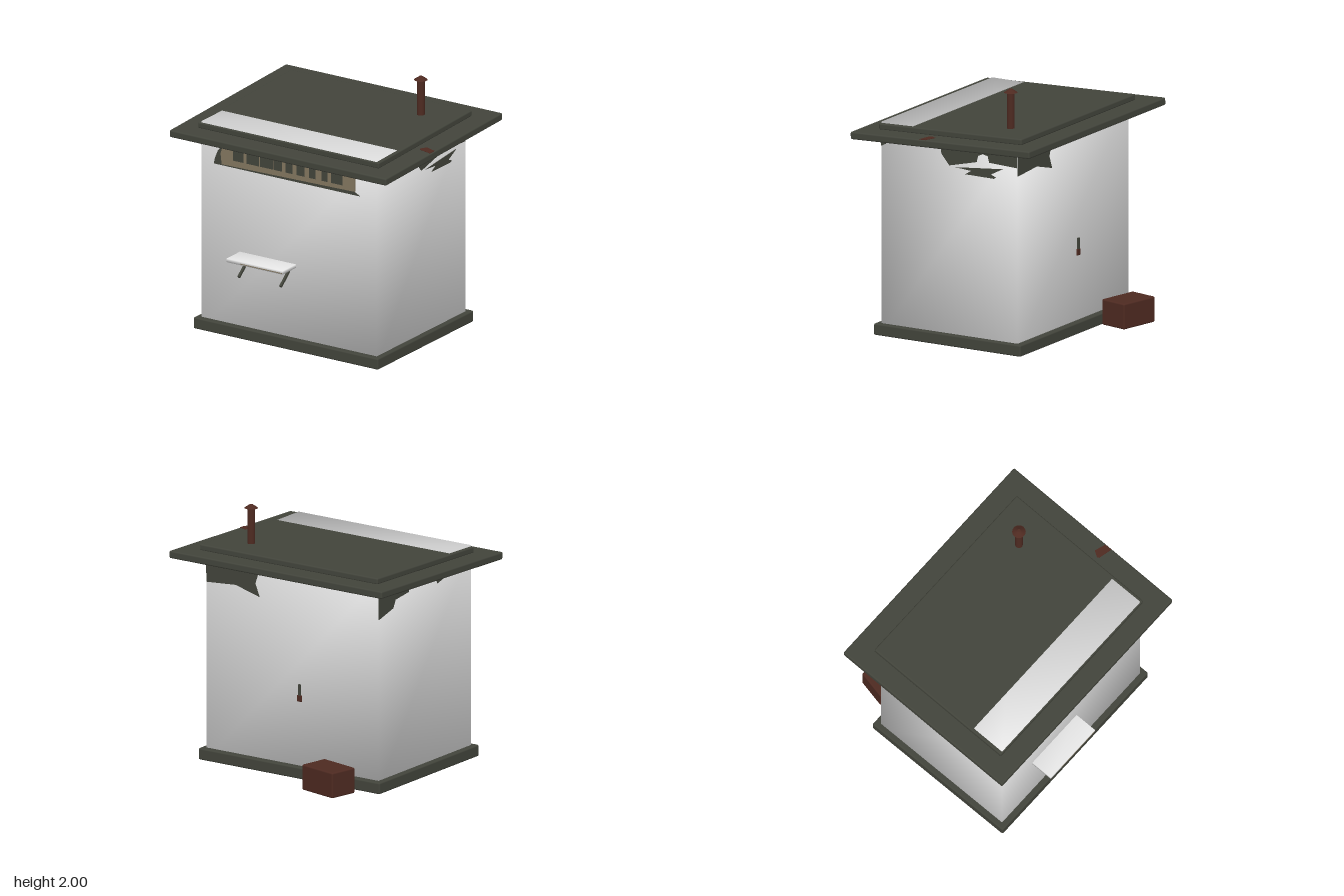
import * as THREE from 'three';
import { mergeVertices } from 'three/addons/utils/BufferGeometryUtils.js';
import { RoundedBoxGeometry } from 'three/addons/geometries/RoundedBoxGeometry.js';

const material = (name, color) => {
  const m = new THREE.MeshStandardMaterial({ color });
  m.name = name;
  return m;
};

export function createModel() {
  const model = new THREE.Group();
  model.name = 'kiosk';
  const white = material('white paint', 0xe6e6e6);
  const dark = material('dark grey green', 0x42443b);
  const rust = material('rust brown', 0x4e2a21);
  const beige = material('sign beige', 0x82765f);

  const add = (name, geometry, mat, x, y, z, parent = model) => {
    const mesh = new THREE.Mesh(geometry, mat);
    mesh.name = name;
    mesh.position.set(x, y, z);
    parent.add(mesh);
    return mesh;
  };
  const slab = (w, h, d, r = 0.012) => new RoundedBoxGeometry(w, h, d, 2, r);
  // Box with shared corners, so its shading is smooth
  const softBox = (w, h, d) => {
    const g = new THREE.BoxGeometry(w, h, d);
    g.deleteAttribute('normal');
    g.deleteAttribute('uv');
    const merged = mergeVertices(g);
    merged.computeVertexNormals();
    return merged;
  };
  // Thin plate with an outline of [x, y] points
  const plate = (points, depth = 0.004) => new THREE.ExtrudeGeometry(
    new THREE.Shape(points.map(([x, y]) => new THREE.Vector2(x, y))),
    { depth, bevelEnabled: false });

  // Base and walls
  add('base', slab(1.68, 0.09, 1.305), dark, -0.005, 0.05, 0.0825);
  add('walls', softBox(1.595, 1.656, 1.21), white, -0.003, 0.84, 0.085);

  // Pale underside of the floor, in fractions of the base
  const floor = [[0.03, 0.04], [0.068, 0.106], [0.092, 0.286], [0.3, 0.3], [0.46, 0.31],
    [0.646, 0.517], [0.666, 0.643], [0.577, 0.839], [0.4, 0.88], [0.283, 0.96],
    [0.97, 0.96], [0.96, 0.291], [0.893, 0.215], [0.746, 0.148], [0.428, 0.083]]
    .map(([u, v]) => [0.835 - 1.68 * u, -0.57 + 1.305 * v]);
  add('floor underside', plate(floor), white, 0, 0.005, 0).rotation.x = Math.PI / 2;

  // Sloping roof of two layers
  const lower = add('lower roof', slab(1.97, 0.058, 1.592), dark, 0, 1.606, 0.055);
  lower.rotation.x = 0.035;
  const upper = add('upper roof', slab(1.645, 0.05, 1.27), dark, -0.003, 1.655, 0.065);
  upper.rotation.x = 0.035;
  add('roof rust patch', plate([[0.86, -0.145], [0.89, -0.095], [0.978, -0.125],
    [0.978, -0.185], [0.87, -0.16]]), rust, 0, 0.0275, 0, lower).rotation.x = -Math.PI / 2;

  // Chimney with a conical cap
  add('chimney pipe', new THREE.CylinderGeometry(0.03, 0.03, 0.35, 16), rust, 0.535, 1.8, -0.3);
  add('chimney cap', new THREE.CylinderGeometry(0.012, 0.052, 0.028, 16), rust, 0.535, 1.986, -0.3);

  // Ragged dark patches under the eaves, (z or x, y) on each wall
  const wallPatch = (name, points, side) => {
    const outline = {
      right: p => [-p[0], p[1]], left: p => p, back: p => [-p[0], p[1]],
    }[side];
    const mesh = add(name, plate(points.map(outline)), dark, 0, 0, 0);
    if (side === 'back') mesh.position.z = -0.5195;
    else mesh.position.x = side === 'right' ? 0.794 : -0.8;
    mesh.rotation.y = { right: Math.PI / 2, left: -Math.PI / 2, back: Math.PI }[side];
  };
  wallPatch('upper eave patch', [[0.165, 1.566], [-0.517, 1.566], [-0.517, 1.465],
    [-0.27, 1.475], [-0.257, 1.523], [-0.215, 1.535], [-0.17, 1.515], [-0.157, 1.465],
    [0.085, 1.407], [0.155, 1.49]], 'right');
  wallPatch('lower eave patch', [[0.03, 1.4], [-0.39, 1.44], [-0.285, 1.385],
    [-0.33, 1.365], [-0.31, 1.355], [-0.055, 1.357], [-0.11, 1.39]], 'right');
  wallPatch('front eave patch', [[0.69, 1.56], [0.635, 1.56], [0.65, 1.5], [0.69, 1.48]], 'right');
  wallPatch('eave patch', [[-0.518, 1.58], [-0.518, 1.36], [-0.33, 1.41],
    [-0.3, 1.47], [-0.13, 1.49], [-0.085, 1.58]], 'left');
  wallPatch('front eave patch', [[0.2, 1.57], [0.25, 1.47], [0.4, 1.51],
    [0.69, 1.48], [0.69, 1.57]], 'left');
  wallPatch('eave patch', [[0.793, 1.58], [0.793, 1.4], [0.52, 1.42],
    [0.3, 1.36], [0.34, 1.46], [0.3, 1.58]], 'back');

  // Sign board with a row of plain dark panels
  add('sign backing', plate([[-0.685, 1.352], [0.645, 1.352], [0.58, 1.385],
    [0.58, 1.54], [-0.59, 1.54], [-0.65, 1.46], [-0.675, 1.4]]), dark, 0, 0, 0.69);
  add('sign board', plate([[-0.605, 1.365], [0.605, 1.385], [0.605, 1.545], [-0.59, 1.535],
    [-0.615, 1.45]], 0.013), beige, 0, 0, 0.694);
  const panels = [[-0.5, -0.405], [-0.375, -0.265], [-0.255, -0.135], [-0.125, -0.055],
    [-0.02, 0.04], [0.077, 0.15], [0.19, 0.25], [0.305, 0.36], [0.39, 0.495]];
  for (const [a, b] of panels) {
    add('sign panel', new THREE.BoxGeometry(b - a, 0.088, 0.004), dark, (a + b) / 2, 1.46, 0.708);
  }

  // Counter shelf on two slanted brackets
  add('shelf', softBox(0.51, 0.028, 0.185), white, -0.195, 0.674, 0.7825);
  add('shelf edge strip', new THREE.BoxGeometry(0.38, 0.006, 0.004), beige, -0.135, 0.669, 0.875);
  for (const x of [-0.385, -0.005]) {
    const bracket = add('shelf bracket', new THREE.BoxGeometry(0.018, 0.018, 0.16), dark, x, 0.58, 0.742);
    bracket.rotation.x = 0.69;
  }

  // Door handle on the back wall
  add('handle stem', new THREE.BoxGeometry(0.02, 0.1, 0.012), dark, -0.073, 0.685, -0.526);
  add('handle knob', slab(0.042, 0.05, 0.014, 0.005), rust, -0.073, 0.625, -0.526);

  // Crate behind the kiosk
  add('crate', slab(0.34, 0.2, 0.235), rust, -0.478, 0.106, -0.72).rotation.y = -0.21;

  return model;
}
